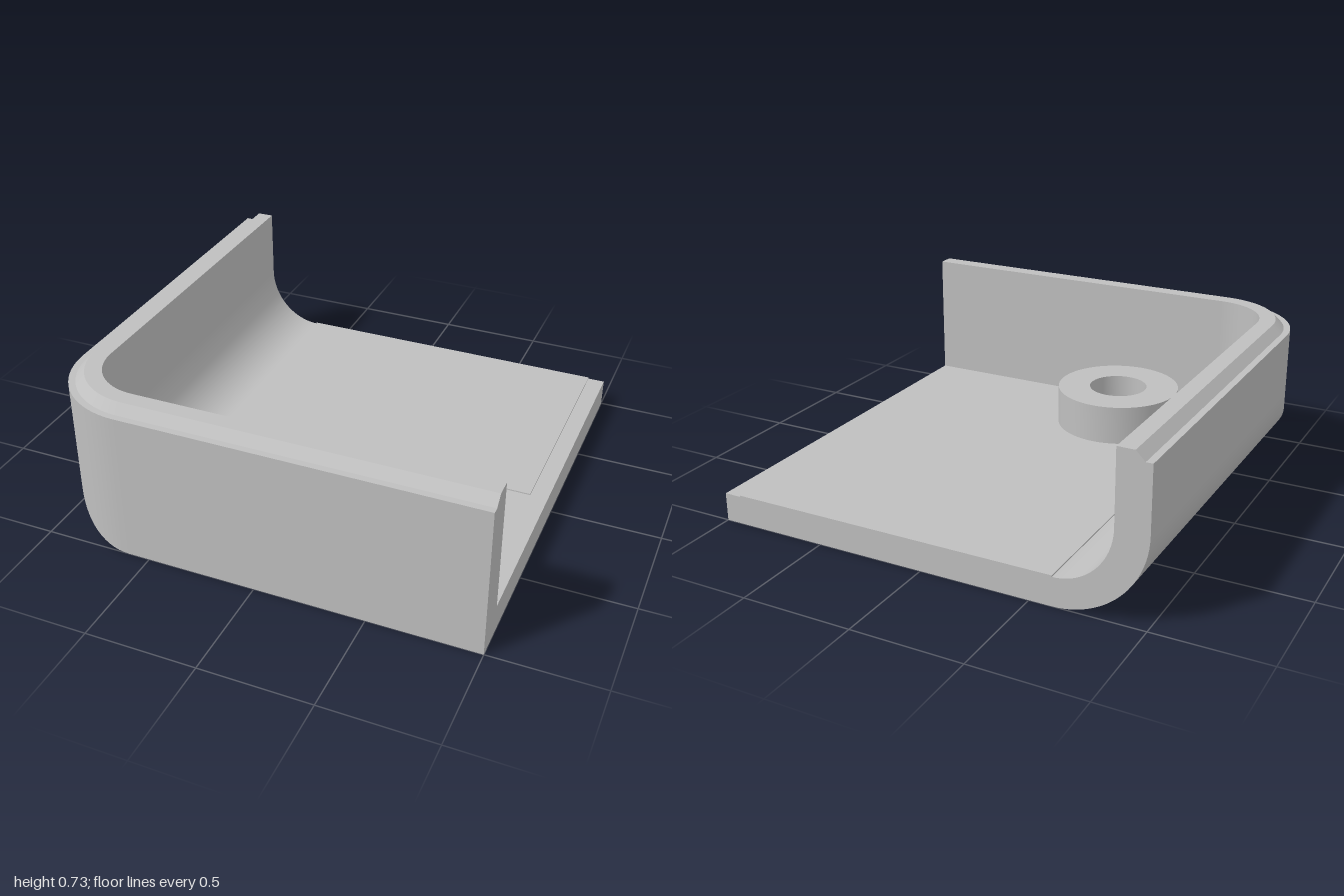
import * as THREE from 'three';
import { toCreasedNormals } from 'three/addons/utils/BufferGeometryUtils.js';

const N = 24;            // segments per quarter arc
const CX = -0.6, CZ = 0.6, CY = 0.4; // centre of the rounded corner
const FLOOR = 0.13, RIM = 0.69, TOP = 0.73;
const R_OUT = 0.4, R_IN = 0.255;

// Quarter arc samples in the x-y plane, from the wall down to the floor
function arc(rx, ry) {
  return Array.from({ length: N + 1 }, (_, i) => {
    const t = (i / N) * Math.PI / 2;
    return new THREE.Vector2(CX - rx * Math.cos(t), CY - ry * Math.sin(t));
  });
}

function extrude(points, depth, holes = []) {
  const shape = new THREE.Shape(points.map((p) => (p.isVector2 ? p : new THREE.Vector2(...p))));
  shape.holes.push(...holes);
  return new THREE.ExtrudeGeometry(shape, { depth, bevelEnabled: false, curveSegments: 48 });
}

// Corner skin: fillet running along z, cut by an upright rounded corner
function cornerSkin(rx, ry, top, inward) {
  const pos = [];
  const quad = (a, b, c, d) => {
    const order = inward ? [a, c, b, a, d, c] : [a, b, c, a, c, d];
    order.forEach((p) => pos.push(...p));
  };
  const pts = arc(rx, ry);
  const plan = (i) => CZ + rx * Math.sin((i / N) * Math.PI / 2);
  for (let i = 0; i < N; i++) {
    const p = pts[i], q = pts[i + 1], zp = plan(i), zq = plan(i + 1);
    quad([p.x, p.y, zp], [q.x, q.y, zq], [q.x, top, zq], [p.x, top, zp]);
    quad([p.x, p.y, CZ], [q.x, q.y, CZ], [q.x, q.y, zq], [p.x, p.y, zp]);
  }
  const geo = new THREE.BufferGeometry();
  geo.setAttribute('position', new THREE.Float32BufferAttribute(pos, 3));
  return geo;
}

export function createModel() {
  const group = new THREE.Group();
  group.name = 'enclosureCorner';
  const grey = new THREE.MeshStandardMaterial({ color: 0xbfbfbf, side: THREE.DoubleSide });
  grey.name = 'grey';

  const add = (name, geo) => {
    const mesh = new THREE.Mesh(toCreasedNormals(geo, 0.5), grey);
    mesh.name = name;
    group.add(mesh);
    return mesh;
  };

  // Base plate with the counterbore opening
  const bossX = -0.185, bossZ = 0.56;
  const hole = new THREE.Path();
  hole.absarc(bossX, -bossZ, 0.235, 0, Math.PI * 2, true);
  add('basePlate', extrude([[CX, -1], [1, -1], [1, 1], [CX, 1]], FLOOR, [hole]).rotateX(-Math.PI / 2));

  // Side wall with its rounded foot, running along z
  const sideProfile = [
    ...arc(R_OUT, CY).reverse(),
    [-1, RIM], [-0.97, RIM], [-0.93, TOP], [CX - R_IN, TOP],
    ...arc(R_IN, CY - FLOOR),
  ];
  add('sideWall', extrude(sideProfile, 1 + CZ).translate(0, 0, -1));

  // Front wall, running along x
  const frontProfile = [
    [-CZ - R_IN, FLOOR], [-CZ - R_IN, TOP], [-0.93, TOP], [-0.97, RIM], [-1, RIM], [-1, FLOOR],
  ];
  add('frontWall', extrude(frontProfile, 1 - CX).rotateY(Math.PI / 2).translate(CX, 0, 0));

  // Rounded corner: outer skin, inner skin and stepped rim
  add('cornerOuter', cornerSkin(R_OUT, CY, RIM, false));
  add('cornerInner', cornerSkin(R_IN, CY - FLOOR, TOP, true));
  const rim = [[R_OUT, RIM], [0.37, RIM], [0.33, TOP], [R_IN, TOP]].map((p) => new THREE.Vector2(...p));
  add('cornerRim', new THREE.LatheGeometry(rim, N, Math.PI * 1.5, Math.PI / 2).translate(CX, 0, CZ));

  // Screw boss with a narrow bore above a wide counterbore
  const boss = [
    [0.295, FLOOR], [0.295, 0.315], [0.14, 0.315], [0.14, 0.215], [0.235, 0.215], [0.235, FLOOR],
  ].map((p) => new THREE.Vector2(...p));
  add('screwBoss', new THREE.LatheGeometry(boss, 64).translate(bossX, 0, bossZ));

  // Thin raised pad on the floor
  add('floorPad', new THREE.BoxGeometry(1.52, 0.006, 1.09).translate(0.16, FLOOR + 0.003, -0.455));

  return group;
}
